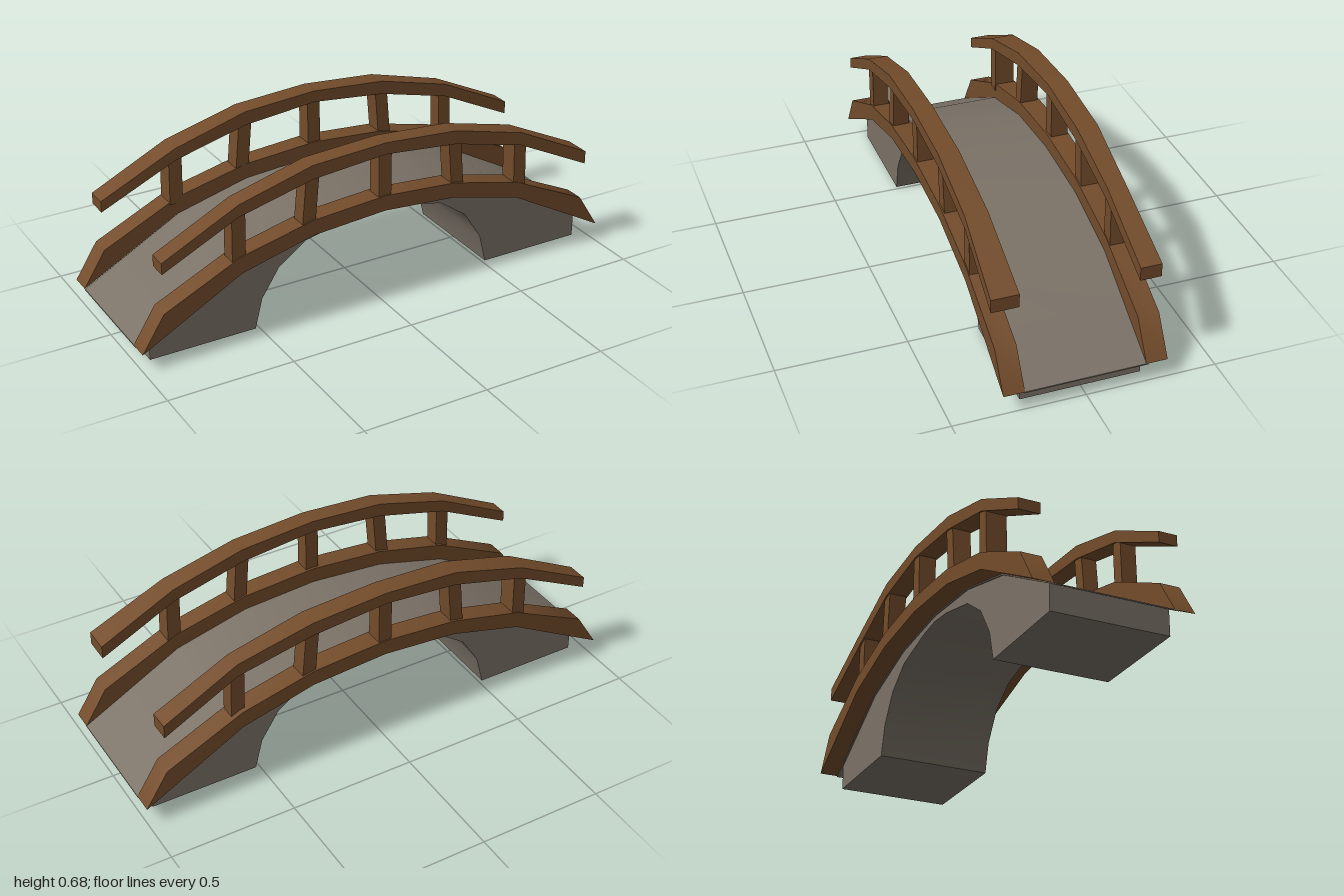
import * as THREE from 'three';
import { toCreasedNormals } from 'three/addons/utils/BufferGeometryUtils.js';

const CREASE = 0.6;

// Loft of four-cornered sections [xTop, yTop, xBottom, yBottom, zMin, zMax], ordered along +x
function beam(sections) {
  const positions = [];
  const index = [];
  for (const [xt, yt, xb, yb, z0, z1] of sections) {
    positions.push(xt, yt, z1, xt, yt, z0, xb, yb, z0, xb, yb, z1);
  }
  const last = (sections.length - 1) * 4;
  for (let i = 0; i < last; i += 4) {
    for (let k = 0; k < 4; k++) {
      const n = (k + 1) % 4;
      index.push(i + k, i + 4 + k, i + 4 + n, i + k, i + 4 + n, i + n);
    }
  }
  index.push(0, 1, 2, 0, 2, 3, last + 2, last + 1, last, last + 3, last + 2, last);
  const geometry = new THREE.BufferGeometry();
  geometry.setAttribute('position', new THREE.Float32BufferAttribute(positions, 3));
  geometry.setIndex(index);
  return toCreasedNormals(geometry, CREASE);
}

export function createModel() {
  const bridge = new THREE.Group();
  bridge.name = 'archBridge';
  const wood = new THREE.MeshStandardMaterial({ color: 0x734c2b });
  wood.name = 'brown wood';
  const stone = new THREE.MeshStandardMaterial({ color: 0x7b7267 });
  stone.name = 'grey stone';

  const add = (parent, name, geometry, material) => {
    const mesh = new THREE.Mesh(geometry, material);
    mesh.name = name;
    parent.add(mesh);
  };

  // Walkway line, shared by the stone, the deck and the kerbs
  const walkway = [[-1, 0.075], [-0.6, 0.295], [-0.305, 0.372], [0, 0.395], [0.305, 0.372], [0.6, 0.295], [1, 0.075]];

  // Stone body with the arched opening
  const halfArch = [[0.515, 0], [0.485, 0.12], [0.411, 0.235], [0.297, 0.315], [0.103, 0.36]];
  const outline = [
    [-0.945, 0], ...halfArch.map(([x, y]) => [-x, y]), [0, 0.37],
    ...[...halfArch].reverse(), [0.945, 0], [0.945, 0.105],
    ...walkway.slice(1, -1).reverse(), [-0.945, 0.105],
  ];
  const shape = new THREE.Shape(outline.map(([x, y]) => new THREE.Vector2(x, y)));
  const body = new THREE.ExtrudeGeometry(shape, { depth: 0.46, bevelEnabled: false });
  body.translate(0, 0, -0.23);
  add(bridge, 'stoneArch', toCreasedNormals(body, CREASE), stone);

  // Thin deck reaching out to the kerb tips
  add(bridge, 'deck', beam(walkway.map(([x, y]) => [x, y + 0.001, x, y - 0.004, -0.235, 0.235])), stone);

  const kerbTop = [[-0.91, 0.217], [-0.6, 0.364], [-0.305, 0.434], [0, 0.457], [0.305, 0.434], [0.6, 0.362], [0.91, 0.217]];
  const railTop = [[-0.91, 0.423], [-0.605, 0.575], [-0.305, 0.657], [0, 0.675], [0.305, 0.652], [0.605, 0.575], [0.91, 0.428]];
  const railBottom = [0.378, 0.526, 0.601, 0.628, 0.597, 0.522, 0.375];

  // Posts: centre at the bottom, centre at the top, y at the bottom, y at the top
  const posts = [
    [-0.607, -0.604, 0.34, 0.55], [-0.322, -0.302, 0.41, 0.63], [0, 0, 0.43, 0.65],
    [0.322, 0.304, 0.41, 0.62], [0.61, 0.604, 0.34, 0.55],
  ];

  // Slightly uneven depth of each handrail, as [zMin, zMax] along x
  const sides = [
    {
      name: 'front', kerb: [0.225, 0.305],
      rail: [[0.225, 0.3], [0.226, 0.302], [0.228, 0.304], [0.23, 0.306], [0.228, 0.307], [0.224, 0.311], [0.22, 0.325]],
    },
    {
      name: 'back', kerb: [-0.315, -0.233],
      rail: [[-0.325, -0.24], [-0.319, -0.226], [-0.314, -0.23], [-0.316, -0.235], [-0.312, -0.23], [-0.298, -0.226], [-0.31, -0.228]],
    },
  ];

  for (const { name, kerb, rail } of sides) {
    const side = new THREE.Group();
    side.name = name + 'Railing';
    bridge.add(side);

    // Kerb with slanted ends
    add(side, name + 'Kerb', beam(kerbTop.map(([x, y], i) => {
      const shift = 0.006 * x;
      return [x, y, ...walkway[i], kerb[0] + shift, kerb[1] + shift];
    })), wood);

    // Handrail
    add(side, name + 'Handrail', beam(railTop.map(([x, y], i) => [x, y, x, railBottom[i], ...rail[i]])), wood);

    // Leaning posts
    posts.forEach(([xb, xt, yb, yt], i) => {
      const [z0, z1] = rail[i + 1];
      const section = (h) => [xt + h, yt, xb + h, yb, z0 + 0.006, z1 - 0.006];
      add(side, name + 'Post' + (i + 1), beam([section(-0.027), section(0.027)]), wood);
    });
  }
  return bridge;
}
